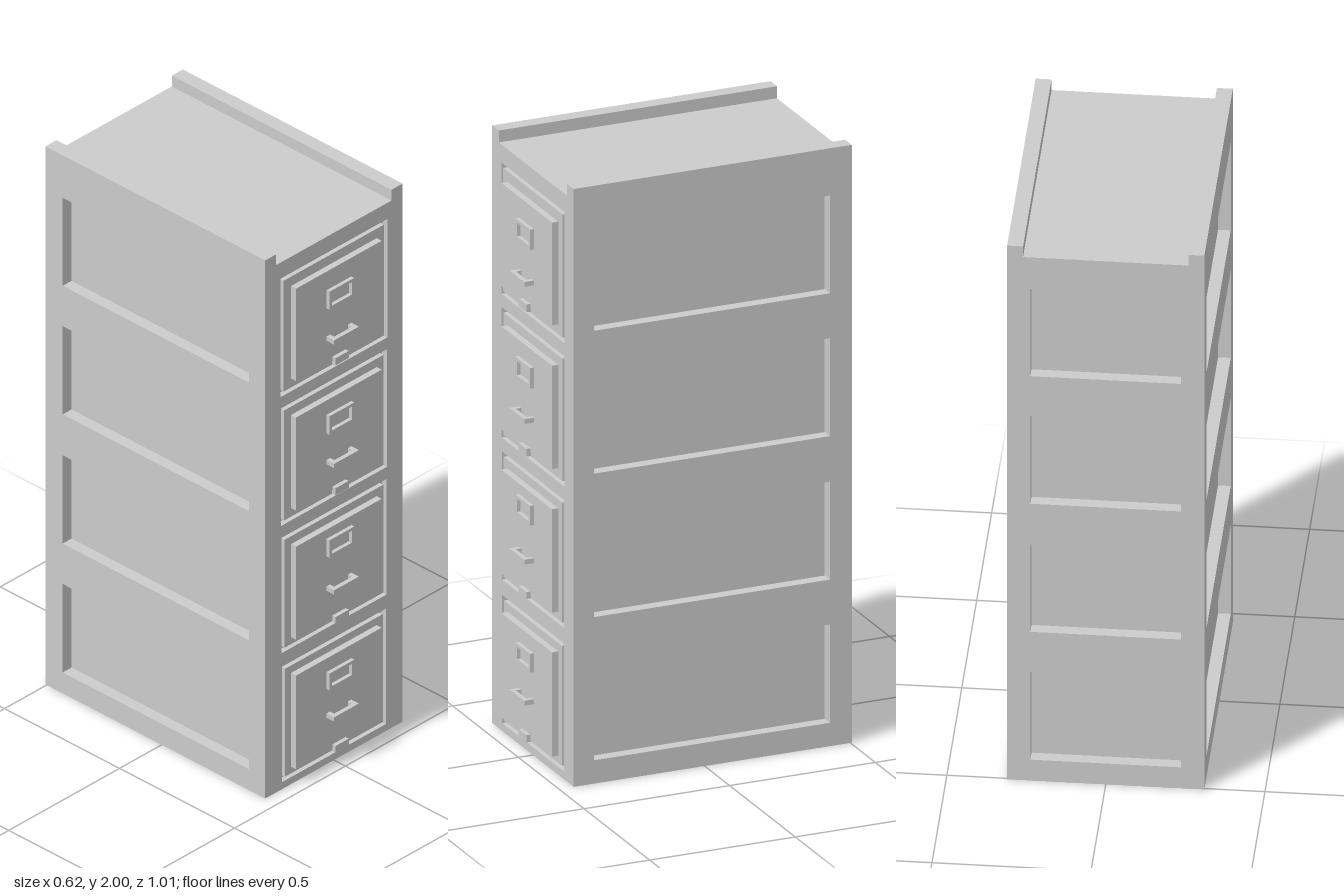
import * as THREE from 'three';

const material = new THREE.MeshStandardMaterial({ color: 0xcccccc, flatShading: true });

// Box given by its extents on each axis
function box(name, x0, x1, y0, y1, z0, z1) {
  const geometry = new THREE.BoxGeometry(x1 - x0, y1 - y0, z1 - z0);
  geometry.translate((x0 + x1) / 2, (y0 + y1) / 2, (z0 + z1) / 2);
  const mesh = new THREE.Mesh(geometry, material);
  mesh.name = name;
  return mesh;
}

function rectangle(path, [x0, x1, y0, y1]) {
  path.moveTo(x0, y0);
  path.lineTo(x1, y0);
  path.lineTo(x1, y1);
  path.lineTo(x0, y1);
  path.closePath();
  return path;
}

// Flat plate with rectangular openings, extruded along +z from 0
function frame(name, outer, openings, depth) {
  const shape = rectangle(new THREE.Shape(), outer);
  for (const opening of openings) shape.holes.push(rectangle(new THREE.Path(), opening));
  const geometry = new THREE.ExtrudeGeometry(shape, { depth, bevelEnabled: false });
  const mesh = new THREE.Mesh(geometry, material);
  mesh.name = name;
  return mesh;
}

// Heights per drawer, from top to bottom: [low, high]
const drawers = [
  { half: 0.241, face: [1.46, 1.9], panel: [1.507, 1.851], label: [1.714, 1.782], handle: 1.602, latch: [1.497, 1.523] },
  { half: 0.239, face: [0.98, 1.417], panel: [1.026, 1.372], label: [1.25, 1.319], handle: 1.143, latch: [1.014, 1.04] },
  { half: 0.237, face: [0.506, 0.935], panel: [0.546, 0.892], label: [0.792, 0.858], handle: 0.673, latch: [0.538, 0.561] },
  { half: 0.235, face: [0.026, 0.455], panel: [0.064, 0.413], label: [0.3, 0.363], handle: 0.201, latch: [0.058, 0.082] },
];
const recesses = [[1.515, 1.842], [1.037, 1.365], [0.557, 0.885], [0.078, 0.407]];

const FRONT = 0.45, BACK = -0.505, PANEL = 0.472;

function createDrawer({ half, face, panel, label, handle, latch }) {
  const drawer = new THREE.Group();
  drawer.name = 'drawer';
  const gap = 0.014;

  // Flush face inside its groove, with a raised panel
  drawer.add(box('drawerFace', -half + gap, half - gap, face[0] + gap, face[1] - gap, 0.42, FRONT));
  drawer.add(box('raisedPanel', -0.193, 0.193, panel[0], panel[1], FRONT - 0.01, PANEL));

  // Label holder
  const holder = frame('labelHolder', [-0.056, 0.056, ...label],
    [[-0.045, 0.045, label[0] + 0.011, label[1] - 0.011]], 0.014);
  holder.position.z = PANEL - 0.001;
  drawer.add(holder);

  // Pull handle: bar on two posts
  const pull = new THREE.Group();
  pull.name = 'handle';
  const y0 = handle - 0.008, y1 = handle + 0.008;
  pull.add(box('handleBar', -0.056, 0.056, y0, y1, 0.49, 0.505));
  for (const s of [-1, 1]) {
    pull.add(box('handlePost', s * 0.048 - 0.008, s * 0.048 + 0.008, y0, y1, PANEL - 0.002, 0.49));
  }
  drawer.add(pull);

  // Latch over the lower panel edge
  drawer.add(box('latch', -0.03, 0.03, latch[0], latch[1], PANEL - 0.002, 0.486));
  return drawer;
}

export function createModel() {
  const cabinet = new THREE.Group();
  cabinet.name = 'filingCabinet';

  // Inner body forming the recess floors and the sunken top
  cabinet.add(box('body', -0.27, 0.27, 0, 1.96, -0.465, 0.43));

  // Sides rise above the top as rails
  for (const s of [-1, 1]) {
    const side = frame(s > 0 ? 'leftSide' : 'rightSide', [-FRONT, -BACK, 0, 2],
      recesses.map(([a, b]) => [-0.38, 0.43, a, b]), 0.05);
    side.rotation.y = Math.PI / 2;
    side.position.x = s > 0 ? 0.26 : -0.31;
    cabinet.add(side);
  }

  // Back with recessed panels
  const back = frame('back', [-0.26, 0.26, 0, 1.96],
    recesses.map(([a, b]) => [-0.237, 0.237, a, b]), 0.04);
  back.position.z = BACK;
  cabinet.add(back);

  // Front with drawer openings
  const front = frame('front', [-0.26, 0.26, 0, 1.96],
    drawers.map(({ half, face }) => [-half, half, ...face]), 0.02);
  front.position.z = FRONT - 0.02;
  cabinet.add(front);

  for (const spec of drawers) cabinet.add(createDrawer(spec));
  return cabinet;
}
